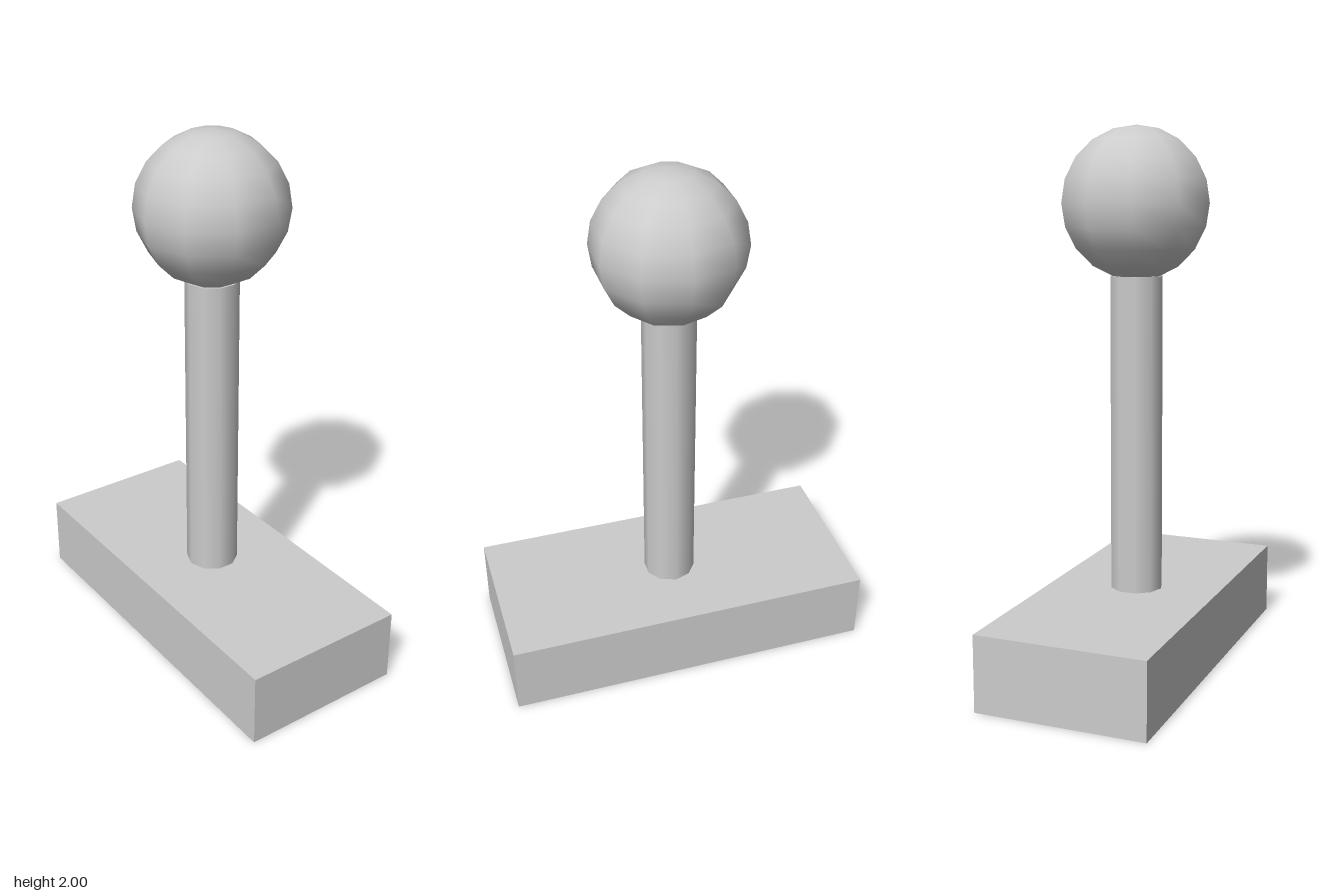
import * as THREE from 'three';

export function createModel() {
  const group = new THREE.Group();
  const material = new THREE.MeshStandardMaterial({ color: 0xcccccc });

  const add = (name, geometry, y) => {
    const mesh = new THREE.Mesh(geometry, material);
    mesh.name = name;
    mesh.position.y = y;
    group.add(mesh);
  };

  const baseHeight = 0.28, ballRadius = 0.278, ballY = 2 - ballRadius;
  const postTop = 1.46, postHeight = postTop - baseHeight;

  // Rectangular block, long from front to back
  add('base', new THREE.BoxGeometry(0.635, baseHeight, 1.405), baseHeight / 2);

  // Ten-sided smooth post, turned so corners lie on the x axis
  add('post',
    new THREE.CylinderGeometry(0.099, 0.099, postHeight, 10).rotateY(Math.PI / 2),
    baseHeight + postHeight / 2);

  // Ball resting on the post
  add('ball', new THREE.SphereGeometry(ballRadius, 10, 10), ballY);

  return group;
}
